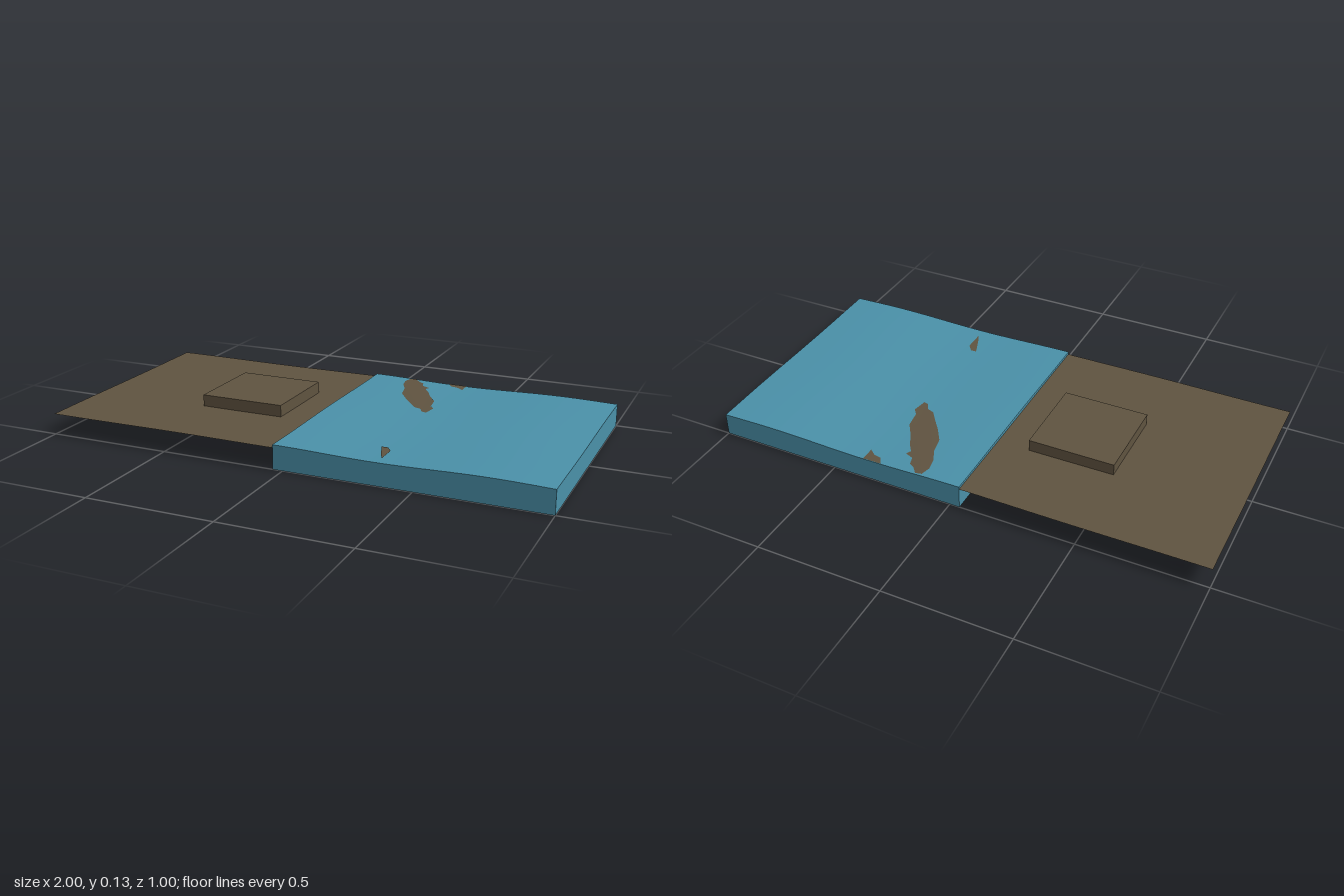
import * as THREE from 'three';

const earth = new THREE.MeshStandardMaterial({ name: 'earth brown', color: 0x5f5340, side: THREE.DoubleSide });
const blue = new THREE.MeshStandardMaterial({ name: 'water blue', color: 0x4a90a8 });

// gentle surface heights
const groundHeight = (x, z) => 0.084 + 0.0012 * Math.sin(x * 7 + z * 3) * Math.cos(z * 5);
const waterHeight = (x, z) =>
  0.092 + 0.004 * Math.cos((x + 0.04) * 7.8) + 0.0015 * Math.cos(z * 8 + x * 2);

// moves the chosen vertices to the height given by a rule
function drape(geometry, height, test = () => true) {
  const p = geometry.attributes.position;
  for (let i = 0; i < p.count; i++) {
    if (test(p.getY(i))) p.setY(i, height(p.getX(i), p.getZ(i)));
  }
  geometry.computeVertexNormals();
  return geometry;
}

export function createModel() {
  const model = new THREE.Group();
  const add = (name, geometry, material) => {
    const mesh = new THREE.Mesh(geometry, material);
    mesh.name = name;
    model.add(mesh);
  };

  // thin land sheet running a little way under the water
  const land = new THREE.PlaneGeometry(1.37, 1, 40, 30).rotateX(-Math.PI / 2).translate(-0.315, 0, 0);
  add('land', drape(land, groundHeight), earth);

  // raised square platform on the land
  add('platform', new THREE.BoxGeometry(0.345, 0.055, 0.35).translate(-0.3425, 0.1025, -0.002), earth);

  // water block with a rippled top
  const water = new THREE.BoxGeometry(1.04, 0.09, 1, 40, 1, 36).translate(0.48, 0.045, 0);
  add('water', drape(water, waterHeight, y => y > 0.05), blue);

  // land showing through the shallow water, outlines as x, z
  const shoals = [
    [[0.12, -0.49], [0.145, -0.495], [0.17, -0.465], [0.19, -0.455], [0.2, -0.42], [0.235, -0.405],
      [0.225, -0.385], [0.25, -0.35], [0.275, -0.3], [0.315, -0.24], [0.325, -0.17], [0.345, -0.145],
      [0.335, -0.085], [0.315, -0.09], [0.3, -0.12], [0.27, -0.13], [0.24, -0.17], [0.2, -0.22],
      [0.16, -0.28], [0.145, -0.35], [0.12, -0.4], [0.11, -0.45]],
    [[0.29, -0.499], [0.367, -0.499], [0.367, -0.44], [0.34, -0.462], [0.31, -0.468]],
    [[0.32, 0.34], [0.345, 0.34], [0.367, 0.37], [0.367, 0.455], [0.35, 0.42], [0.335, 0.38]],
  ];
  for (const outline of shoals) {
    const shape = new THREE.Shape(outline.map(([x, z]) => new THREE.Vector2(x, -z)));
    const patch = new THREE.ShapeGeometry(shape).rotateX(-Math.PI / 2);
    add('shoal', drape(patch, (x, z) => waterHeight(x, z) + 0.0018), earth);
  }
  return model;
}
